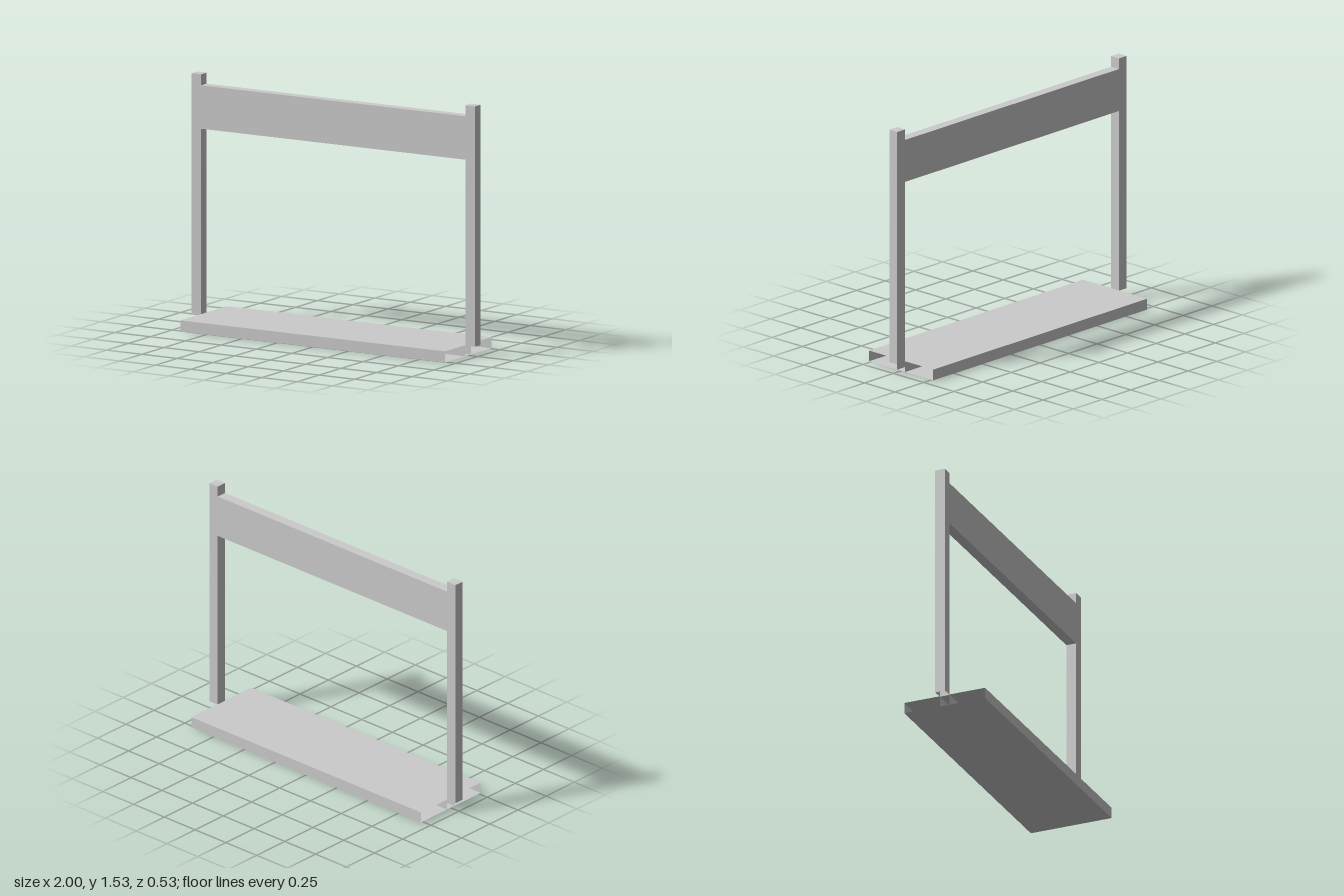
import * as THREE from 'three';

const material = new THREE.MeshStandardMaterial({ color: 0xcccccc, flatShading: true, side: THREE.DoubleSide });

// Box from its min and max corners, leaving out the listed faces (0:+x 1:-x 2:+y 3:-y 4:+z 5:-z)
function box(name, [x0, y0, z0], [x1, y1, z1], openFaces = []) {
  const geometry = new THREE.BoxGeometry(x1 - x0, y1 - y0, z1 - z0);
  const index = Array.from(geometry.index.array);
  geometry.setIndex(index.filter((_, i) => !openFaces.includes(Math.floor(i / 6))));
  geometry.clearGroups();
  geometry.translate((x0 + x1) / 2, (y0 + y1) / 2, (z0 + z1) / 2);
  const mesh = new THREE.Mesh(geometry, material);
  mesh.name = name;
  return mesh;
}

export function createModel() {
  const group = new THREE.Group();
  group.name = 'benchFrame';

  const inner = 0.932; // inner face of the posts
  const half = 0.032; // half thickness of the posts and beam
  const depth = 0.265; // half depth of the bottom board

  // Hollow bottom board, open at both ends
  group.add(box('bottomBoard', [-inner, 0, -depth], [inner, 0.068, depth], [0, 1]));

  // Ribs inside the board, in line with the post faces
  for (const z of [-half, half]) {
    const rib = new THREE.Mesh(new THREE.PlaneGeometry(2 * inner, 0.068), material);
    rib.position.set(0, 0.034, z);
    rib.name = z > 0 ? 'frontRib' : 'backRib';
    group.add(rib);
  }

  // Upright posts with open feet
  for (const side of [-1, 1]) {
    const xs = [side * inner, side].sort((a, b) => a - b);
    group.add(box(side > 0 ? 'leftPost' : 'rightPost', [xs[0], 0.065, -half], [xs[1], 1.532, half], [3]));
  }

  // Wide beam between the posts
  group.add(box('topBeam', [-inner, 1.2, -half], [inner, 1.465, half], [0, 1]));

  return group;
}
